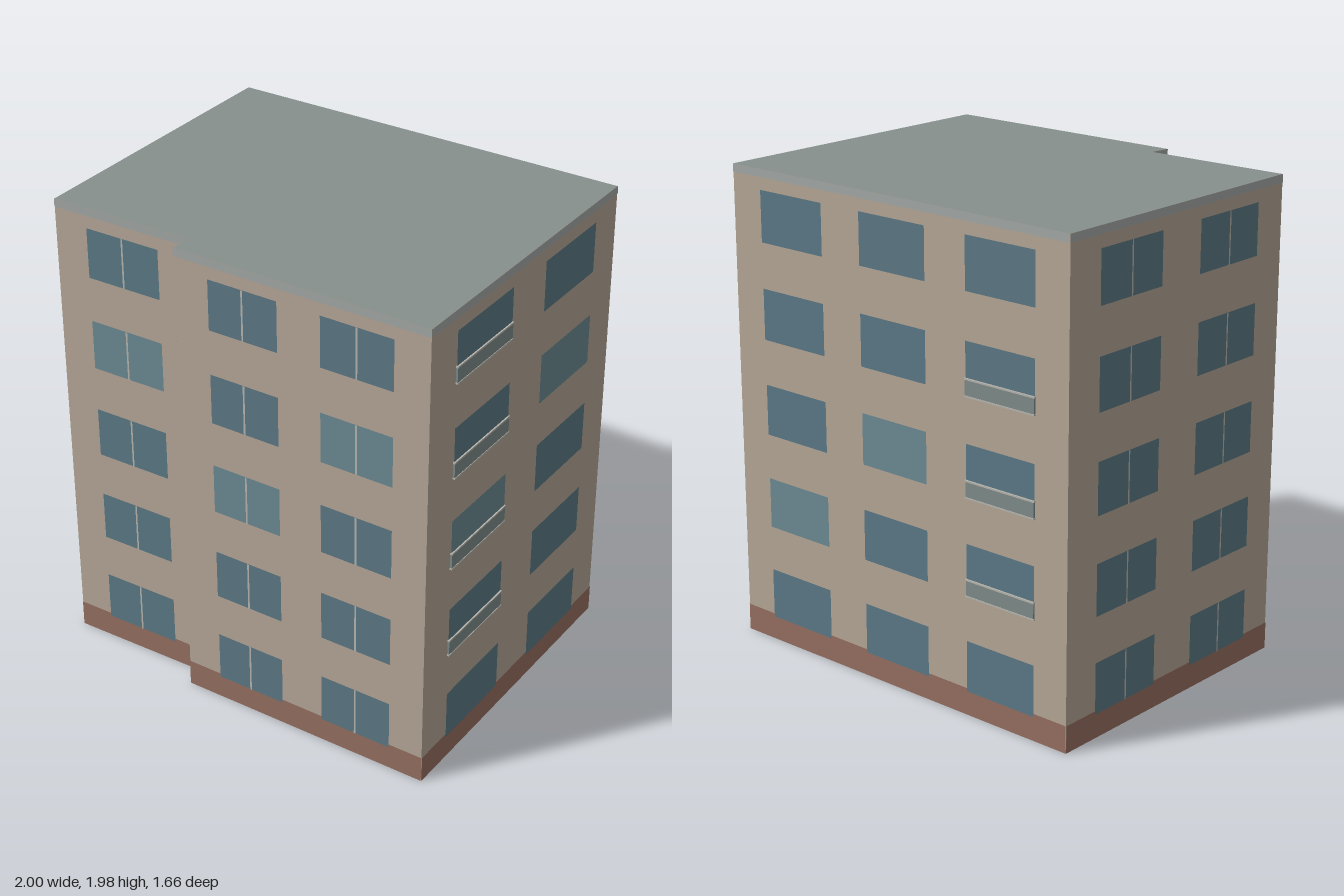
import * as THREE from 'three';

const HEIGHT = 1.98, FLOORS = 5, PITCH = 0.397, SILL = 0.1, WINDOW_H = 0.21;

const mat = (color, side = THREE.FrontSide) => new THREE.MeshStandardMaterial({ color, side });
const mats = {
  wall: mat(0xb5a797, THREE.DoubleSide),
  roof: mat(0x87908d, THREE.DoubleSide),
  plinth: mat(0x966f60),
  trim: mat(0xa3a8a6),
  glass: mat(0x5c7986),
  paleGlass: mat(0x6c8a93),
  frame: mat(0xb8b6ae),
  panel: mat(0x7d8b8a),
};

// Footprint corners (x, z), walking left to right as seen from outside
const corners = [[-0.684, 0.826], [-0.08, 0.664], [-0.066, 0.75], [1, 0.482], [0.672, -0.826], [-1, -0.403]];

// Per facade: window spans along the wall (0..1), mullions,
// balcony column with its floors, and [column, floor] of paler panes
const facades = [
  { name: 'frontWallLeftBay', windows: [[0.24, 0.77]], mullion: true, pale: [[0, 3]] },
  { name: 'stepWall', windows: [] },
  { name: 'frontWallMainBay', windows: [[0.14, 0.416], [0.585, 0.867]], mullion: true, pale: [[0, 2], [1, 3]] },
  { name: 'sideWallA', windows: [[0.126, 0.413], [0.59, 0.874]], balcony: { column: 0, floors: [1, 2, 3, 4] }, pale: [[0, 2], [1, 3]] },
  { name: 'backWall', windows: [[0.09, 0.285], [0.402, 0.598], [0.715, 0.91]], balcony: { column: 2, floors: [1, 2, 3] }, pale: [[0, 1], [1, 2]] },
  { name: 'sideWallB', windows: [[0.13, 0.41], [0.59, 0.875]], mullion: true },
];

// Flat rectangle, lower left corner at (x, y), standing z proud of the wall
function sheet(name, material, x, y, w, h, z) {
  const mesh = new THREE.Mesh(new THREE.PlaneGeometry(w, h), material);
  mesh.position.set(x + w / 2, y + h / 2, z);
  mesh.name = name;
  return mesh;
}

function block(name, material, x, y, w, h, d) {
  const mesh = new THREE.Mesh(new THREE.BoxGeometry(w, h, d), material);
  mesh.position.set(x + w / 2, y + h / 2, d / 2);
  mesh.name = name;
  return mesh;
}

// Shallow balcony front: panel with a rail above and a slab edge below
function makeBalcony(x, y, w) {
  const group = new THREE.Group();
  group.name = 'balcony';
  group.add(
    block('balconyPanel', mats.panel, x, y, w, 0.066, 0.008),
    block('balconyRail', mats.frame, x - 0.002, y + 0.062, w + 0.004, 0.007, 0.01),
    block('balconySlab', mats.frame, x - 0.002, y - 0.004, w + 0.004, 0.006, 0.01),
  );
  return group;
}

function makeFacade(spec, [x0, z0], [x1, z1]) {
  const group = new THREE.Group();
  const length = Math.hypot(x1 - x0, z1 - z0);
  group.name = spec.name;
  group.position.set(x0, 0, z0);
  group.rotation.y = Math.atan2(z0 - z1, x1 - x0);

  group.add(
    sheet('wall', mats.wall, 0, 0, length, HEIGHT, 0),
    sheet('plinth', mats.plinth, 0, 0, length, 0.112, 0.002),
    sheet('roofTrim', mats.trim, 0, HEIGHT - 0.032, length, 0.032, 0.002),
  );

  spec.windows.forEach(([a, b], column) => {
    const x = a * length, w = (b - a) * length;
    for (let floor = 0; floor < FLOORS; floor++) {
      const y = SILL + floor * PITCH;
      const pale = spec.pale?.some(([c, f]) => c === column && f === floor);
      group.add(sheet('window', pale ? mats.paleGlass : mats.glass, x, y, w, WINDOW_H, 0.004));
      if (spec.mullion) group.add(sheet('mullion', mats.frame, x + w / 2 - 0.004, y, 0.008, WINDOW_H, 0.006));
      if (spec.balcony?.column === column && spec.balcony.floors.includes(floor)) group.add(makeBalcony(x, y, w));
    }
  });
  return group;
}

export function createModel() {
  const model = new THREE.Group();
  model.name = 'apartmentBlock';

  facades.forEach((spec, i) => model.add(makeFacade(spec, corners[i], corners[(i + 1) % corners.length])));

  // Flat roof over the stepped footprint; the underside stays open
  const outline = new THREE.Shape(corners.map(([x, z]) => new THREE.Vector2(x, -z)));
  const roof = new THREE.Mesh(new THREE.ShapeGeometry(outline), mats.roof);
  roof.rotation.x = -Math.PI / 2;
  roof.position.y = HEIGHT;
  roof.name = 'roof';
  model.add(roof);

  return model;
}
